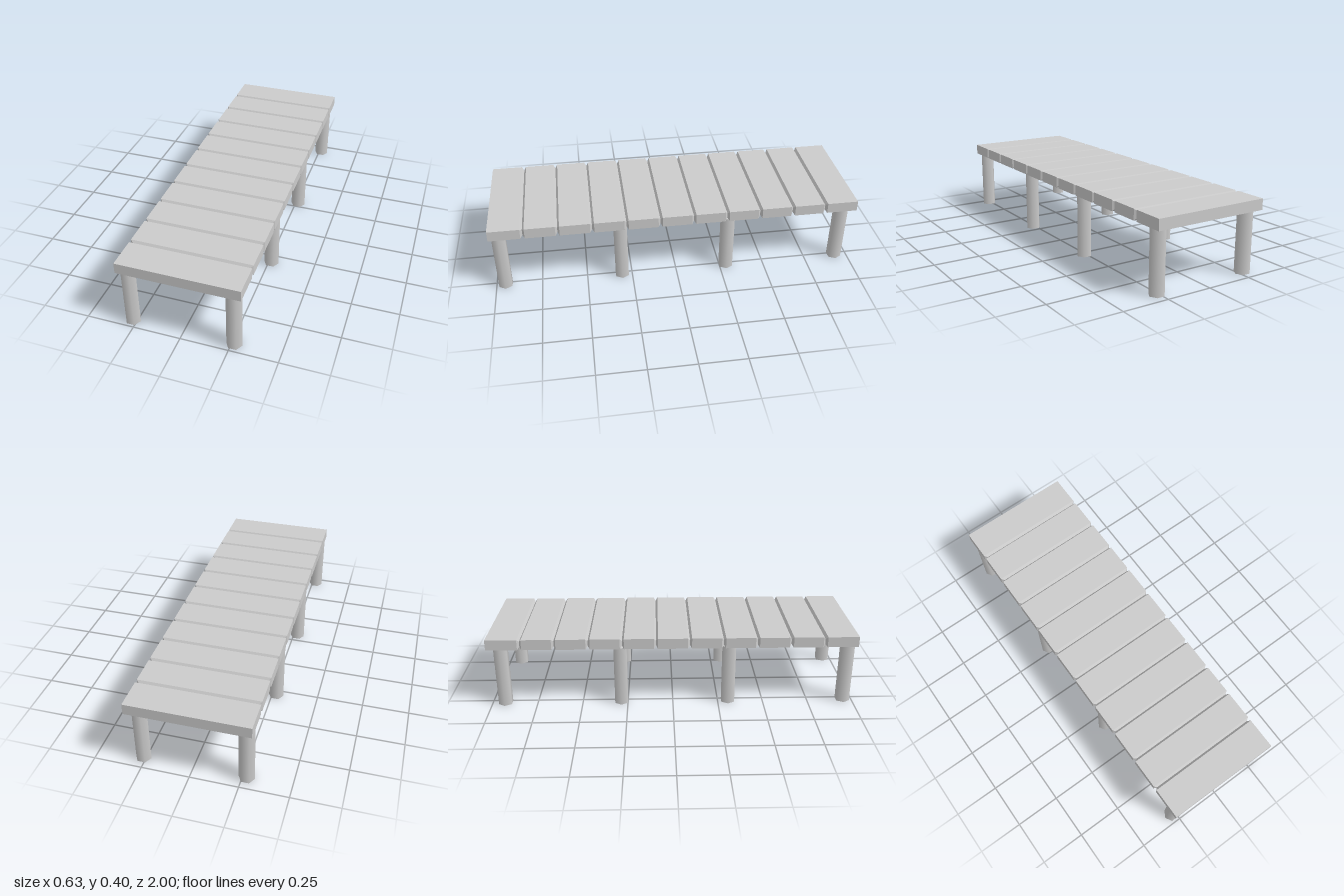
import * as THREE from 'three';

const material = new THREE.MeshStandardMaterial({ color: 0xcccccc });

// Deck: one long box, pinched to a narrower neck between neighbouring planks
function createDeck() {
  const planks = 11, width = 0.63, bottom = 0.338, top = 0.396;
  const endPlank = 0.169, plank = 0.16, groove = 0.0222, inset = 0.015;

  // Lengthwise stations: plank start, plank end, neck, plank start, ...
  const stations = [];
  let z = -1;
  for (let i = 0; i < planks; i++) {
    const last = i === planks - 1;
    const end = last ? 1 : z + (i === 0 ? endPlank : plank);
    stations.push({ z, pinch: 0 }, { z: end, pinch: 0 });
    if (!last) stations.push({ z: end + groove / 2, pinch: inset });
    z = end + groove;
  }

  const segments = stations.length - 1;
  const box = new THREE.BoxGeometry(2, 2, segments, 1, 1, segments);
  const p = box.attributes.position;
  for (let i = 0; i < p.count; i++) {
    const s = stations[Math.round(p.getZ(i) + segments / 2)];
    p.setXYZ(
      i,
      p.getX(i) * (width / 2 - s.pinch),
      (top + bottom) / 2 + p.getY(i) * ((top - bottom) / 2 - s.pinch),
      s.z
    );
  }
  const geometry = box.toNonIndexed();
  geometry.computeVertexNormals();
  const deck = new THREE.Mesh(geometry, material);
  deck.name = 'plankDeck';
  return deck;
}

// Legs: four pairs of six-sided posts with smooth sides
function createLegs() {
  const legs = new THREE.Group();
  legs.name = 'legs';
  const height = 0.34;
  const geometry = new THREE.CylinderGeometry(0.041, 0.041, height, 6, 1, false, Math.PI / 2);
  for (const z of [0.95, 0.306, -0.285, -0.928]) {
    for (const [side, x] of [['right', -0.272], ['left', 0.264]]) {
      const leg = new THREE.Mesh(geometry, material);
      leg.name = side + 'Leg';
      leg.position.set(x, height / 2, z);
      legs.add(leg);
    }
  }
  return legs;
}

export function createModel() {
  const model = new THREE.Group();
  model.name = 'plankWalkway';
  model.add(createDeck(), createLegs());
  return model;
}
